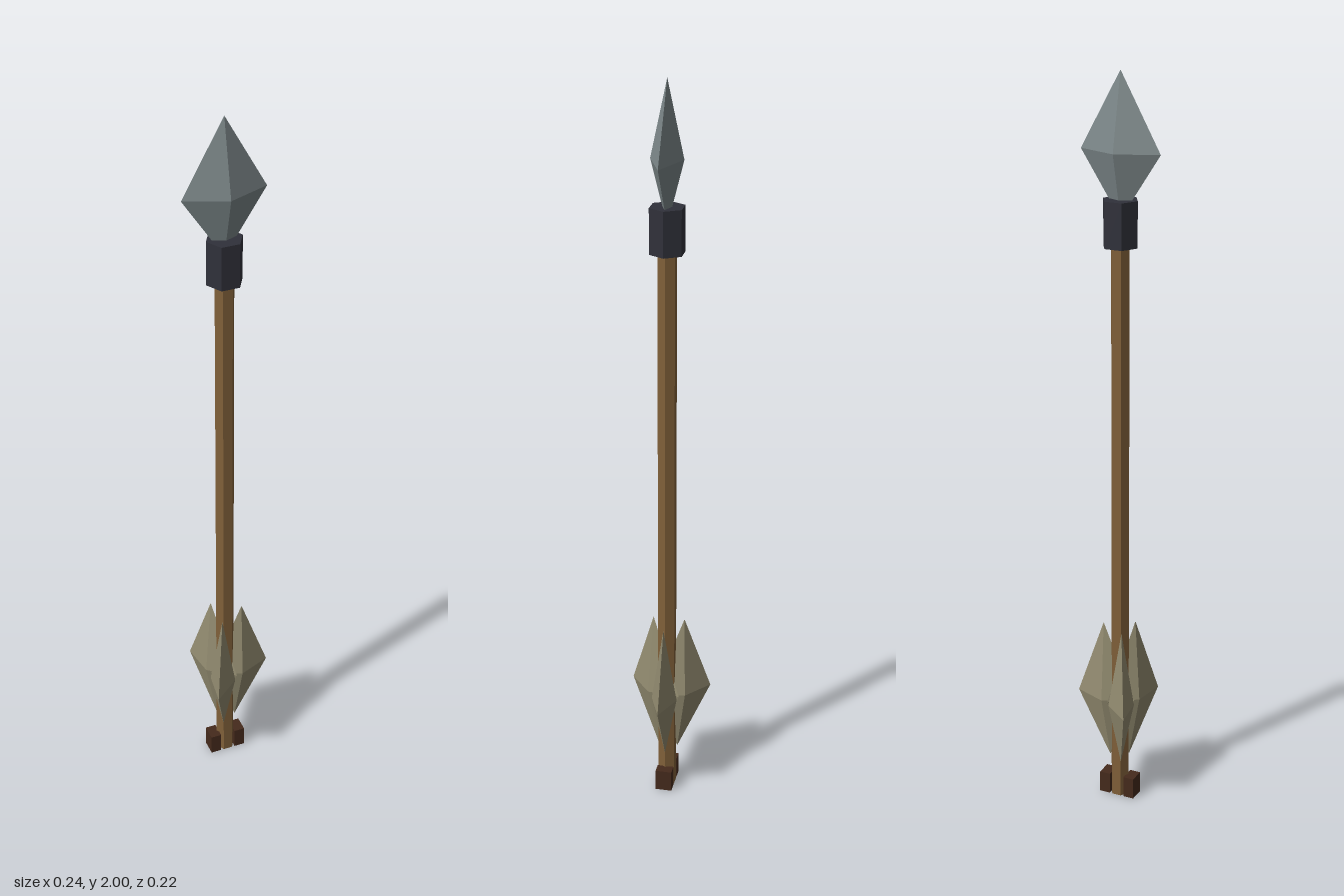
import * as THREE from 'three';

const AXIS_X = -0.01;

function material(color) {
  return new THREE.MeshStandardMaterial({ color, flatShading: true });
}

function addPart(parent, name, geometry, mat) {
  const mesh = new THREE.Mesh(geometry, mat);
  mesh.name = name;
  parent.add(mesh);
  return mesh;
}

// Upright hexagonal prism with corners on the x axis
function hexPrism(radius, bottom, top) {
  const g = new THREE.CylinderGeometry(radius, radius, top - bottom, 6);
  g.rotateY(Math.PI / 2);
  g.translate(0, (bottom + top) / 2, 0);
  return g;
}

// Four-sided blade: a diamond girdle joined to a top and a bottom point
function blade(top, bottom, girdle) {
  const positions = [];
  girdle.forEach((a, i) => {
    const b = girdle[(i + 1) % girdle.length];
    positions.push(...top, ...a, ...b, ...bottom, ...b, ...a);
  });
  const g = new THREE.BufferGeometry();
  g.setAttribute('position', new THREE.Float32BufferAttribute(positions, 3));
  g.computeVertexNormals();
  return g;
}

// Girdle corners, counter-clockwise seen from above
function diamond(inner, outer, middle, halfDepth, y) {
  return [[outer, y, 0], [middle, y, -halfDepth], [inner, y, 0], [middle, y, halfDepth]];
}

export function createModel() {
  const group = new THREE.Group();
  group.name = 'arrow';
  const arrow = new THREE.Group();
  arrow.name = 'arrowParts';
  arrow.position.x = AXIS_X;
  group.add(arrow);

  // Shaft and the collar that holds the head
  addPart(arrow, 'shaft', hexPrism(0.026, 0, 1.6), material(0x806039));
  addPart(arrow, 'collar', hexPrism(0.048, 1.56, 1.68), material(0x30313a));

  // Pointed head
  addPart(arrow, 'head',
    blade([0, 2, 0], [0, 1.63, 0], diamond(-0.11, 0.11, 0, 0.043, 1.8)),
    material(0x7c8789));

  // Three fins spaced evenly around the shaft
  const finMaterial = material(0x928b70);
  const finGeometry = blade([0.05, 0.51, 0], [0.03, 0.11, 0],
    diamond(-0.043, 0.127, 0.04, 0.035, 0.29));
  for (let i = 0; i < 3; i++) {
    const fin = addPart(arrow, 'fin' + (i + 1), finGeometry, finMaterial);
    fin.rotation.y = i * Math.PI * 2 / 3;
  }

  // Two nock blocks either side of the shaft end
  const nockMaterial = material(0x452a1c);
  for (const side of [-1, 1]) {
    const nock = addPart(arrow, side > 0 ? 'leftNock' : 'rightNock',
      new THREE.BoxGeometry(0.03, 0.06, 0.045), nockMaterial);
    nock.position.set(side * 0.036, 0.03, 0);
  }
  return group;
}
